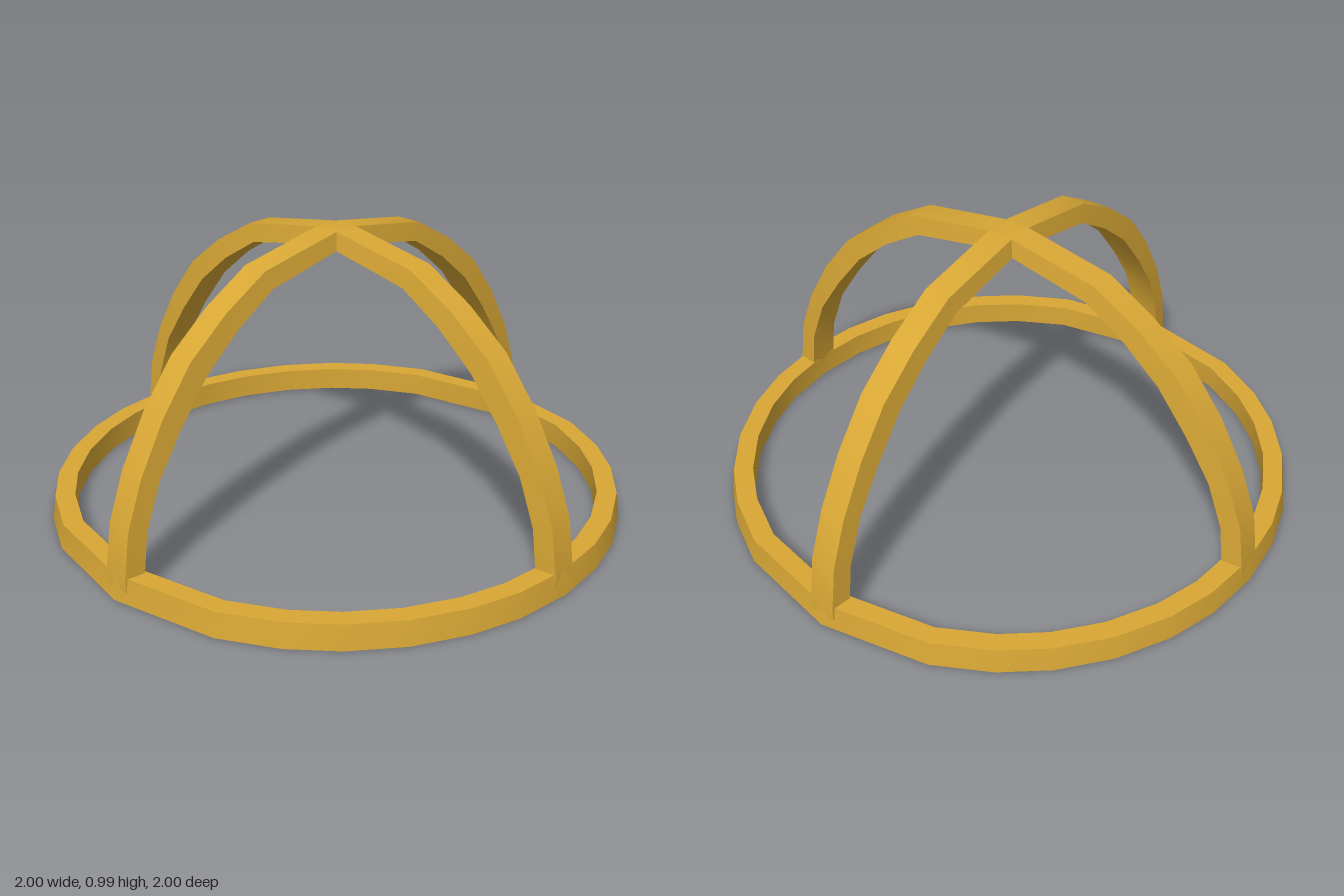
import * as THREE from 'three';
import { toCreasedNormals } from 'three/addons/utils/BufferGeometryUtils.js';

// Skin a row of four-cornered cross-sections
function sweep(sections, closed) {
  const pos = [];
  const n = sections.length;
  for (let i = 0; i < (closed ? n : n - 1); i++) {
    const s = sections[i], e = sections[(i + 1) % n];
    for (let k = 0; k < 4; k++) {
      const m = (k + 1) % 4;
      for (const p of [s[k], e[k], e[m], s[k], e[m], s[m]]) pos.push(...p);
    }
  }
  const geo = new THREE.BufferGeometry();
  geo.setAttribute('position', new THREE.Float32BufferAttribute(pos, 3));
  return toCreasedNormals(geo, 0.5);
}

export function createModel() {
  const group = new THREE.Group();
  const gold = new THREE.MeshStandardMaterial({ color: 0xd8a735 });
  gold.name = 'gold';
  const add = (name, geo) => {
    const mesh = new THREE.Mesh(geo, gold);
    mesh.name = name;
    group.add(mesh);
    return mesh;
  };

  // Base ring, unevenly faceted, repeated in four mirrored quarters
  const quarter = [0, 22.4, 34.6, 45, 56.4, 68, 78.3];
  const angles = [];
  for (let q = 0; q < 4; q++) {
    for (const a of quarter) angles.push(q % 2 ? (q + 1) * 90 - a : q * 90 + a);
  }
  angles.push(90, 270);
  const unique = [...new Set(angles.map((a) => a % 360))].sort((a, b) => a - b);
  const ring = unique.map((deg) => {
    const a = THREE.MathUtils.degToRad(deg);
    const at = (r, y) => [r * Math.sin(a), y, r * Math.cos(a)];
    return [at(1, 0), at(0.988, 0.085), at(0.92, 0.085), at(0.92, 0)];
  });
  add('baseRing', sweep(ring, true));

  // Half arch as [outer x, outer y, inner x, inner y], from crown to foot
  const half = [
    [0.05, 0.993, 0.05, 0.933], [0.37, 0.937, 0.345, 0.875],
    [0.54, 0.84, 0.495, 0.782], [0.69, 0.722, 0.63, 0.668],
    [0.81, 0.568, 0.745, 0.522], [0.905, 0.4, 0.84, 0.378],
    [0.965, 0.24, 0.9, 0.22], [0.988, 0.085, 0.918, 0.08],
    [0.99, 0.04, 0.925, 0.04],
  ];
  const full = [...half.map(([a, b, c, d]) => [-a, b, -c, d]).reverse(), ...half];
  // Arch bars are a little wider on the inside
  const arch = sweep(full.map(([ox, oy, ix, iy]) => [
    [ox, oy, 0.046], [ox, oy, -0.046], [ix, iy, -0.056], [ix, iy, 0.056],
  ]), false);
  add('sideToSideArch', arch);
  add('frontToBackArch', arch).rotation.y = Math.PI / 2;

  return group;
}
